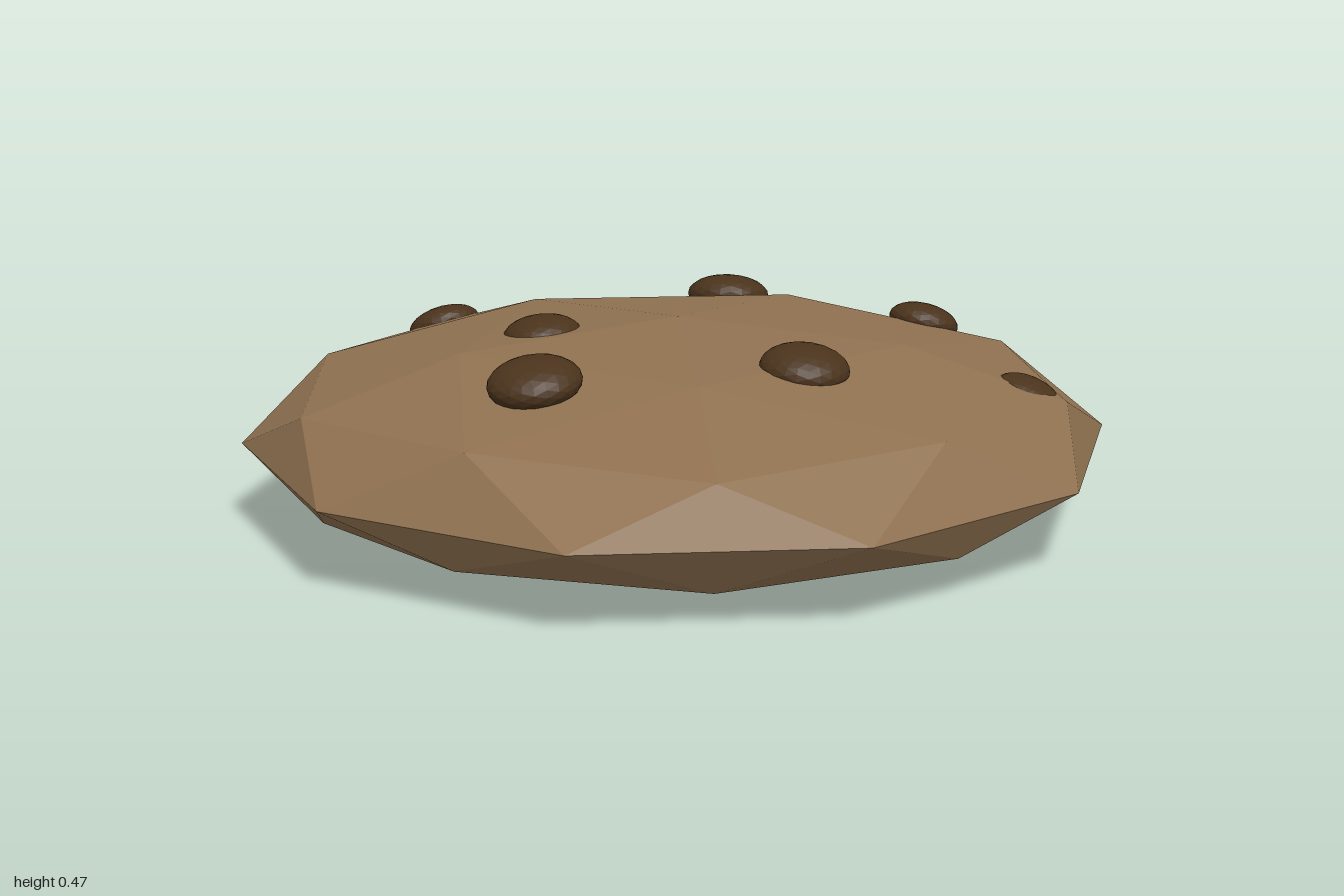
import * as THREE from 'three';
import { ConvexGeometry } from 'three/addons/geometries/ConvexGeometry.js';

const RIM_Y = 0.187, DOME = 0.278;

const doughMaterial = new THREE.MeshStandardMaterial({ color: 0x8f7150, flatShading: true });
const chipMaterial = new THREE.MeshStandardMaterial({ color: 0x4a331c, flatShading: true });

// points on a horizontal circle, starting at an angle in degrees
function ring(count, radius, y, start) {
  return Array.from({ length: count }, (_, i) => {
    const a = THREE.MathUtils.degToRad(start + (i * 360) / count);
    return new THREE.Vector3(radius * Math.cos(a), y, radius * Math.sin(a));
  });
}

// faceted cookie: a flattened two-frequency icosphere with a shallower underside
function makeDough() {
  const points = [
    ...ring(1, 0, RIM_Y + DOME, 0),
    ...ring(5, 0.526, RIM_Y + DOME * 0.851, 0),
    ...ring(5, 0.851, RIM_Y + DOME * 0.526, 36),
    ...ring(5, 0.894, RIM_Y + DOME * 0.447, 0),
    ...ring(10, 1, RIM_Y, 18),
    ...ring(5, 0.894, 0.09, 36),
    ...ring(5, 0.851, 0.068, 0),
    ...ring(5, 0.526, 0.018, 36),
    ...ring(1, 0, 0, 0),
  ];
  const dough = new THREE.Mesh(new ConvexGeometry(points), doughMaterial);
  dough.name = 'cookieDough';
  return dough;
}

// flattened chip, leaning with the slope of the dome
function makeChip([x, y, z, radius, thickness]) {
  const chip = new THREE.Mesh(new THREE.IcosahedronGeometry(1, 3), chipMaterial);
  chip.scale.set(radius, thickness, radius);
  chip.position.set(x, y, z);
  const normal = new THREE.Vector3(x, Math.sqrt(1 - x * x - z * z) / DOME, z).normalize();
  chip.quaternion.setFromUnitVectors(new THREE.Vector3(0, 1, 0), normal);
  return chip;
}

export function createModel() {
  const model = new THREE.Group();
  model.name = 'cookie';
  model.add(makeDough());

  // x, y, z, radius, half thickness
  const chips = [
    [0, 0.405, -0.56, 0.1, 0.05],
    [0.49, 0.36, -0.56, 0.086, 0.045],
    [-0.71, 0.315, -0.465, 0.09, 0.045],
    [0.80, 0.315, -0.04, 0.078, 0.04],
    [-0.3, 0.425, 0.08, 0.09, 0.045],
    [0.345, 0.42, 0.265, 0.1, 0.052],
    [-0.195, 0.417, 0.515, 0.104, 0.053],
  ];
  chips.forEach((spec, i) => {
    const chip = makeChip(spec);
    chip.name = `chocolateChip${i + 1}`;
    model.add(chip);
  });
  return model;
}
